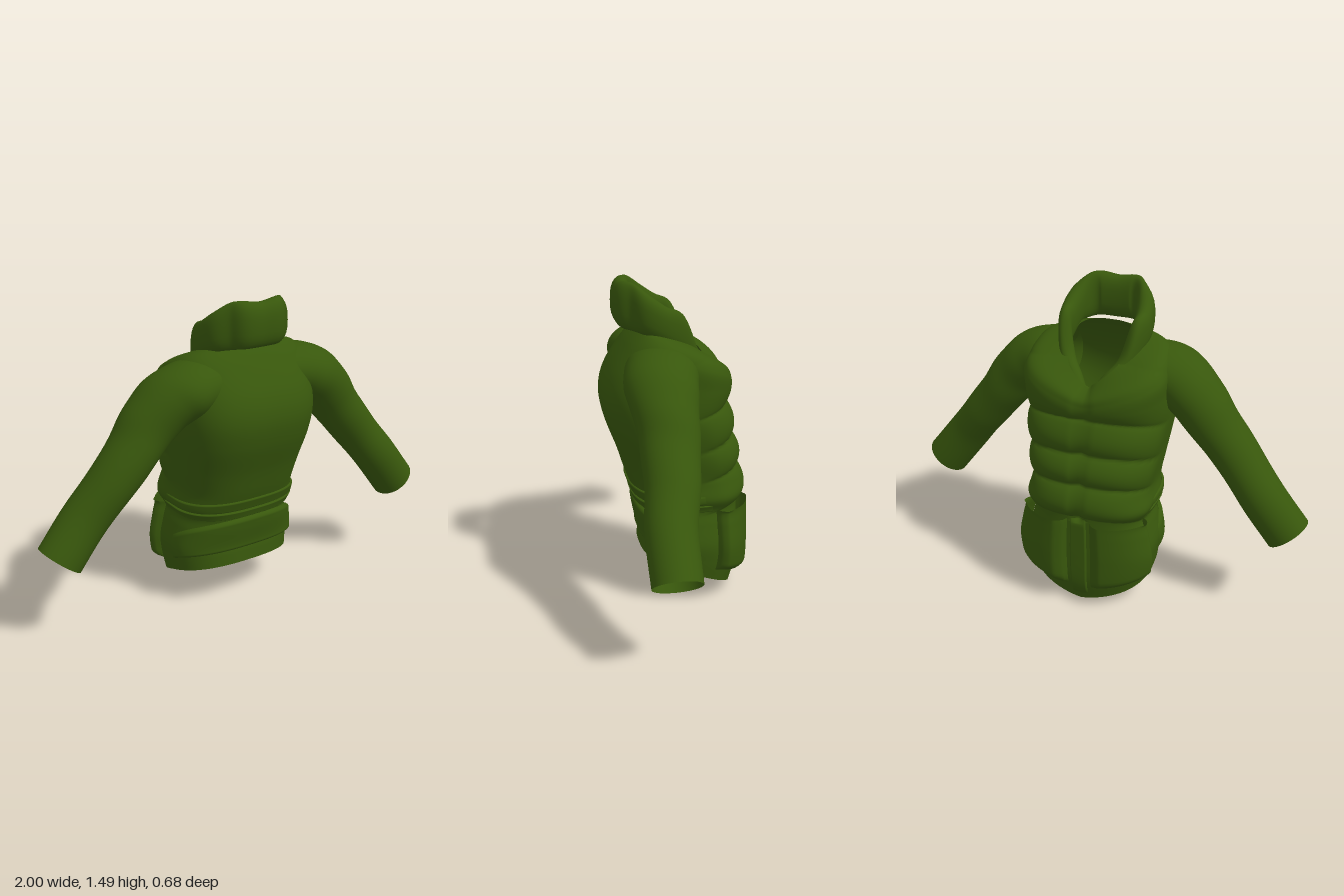
import * as THREE from 'three';

const material = new THREE.MeshStandardMaterial({ color: 0x38570c, side: THREE.DoubleSide });

// Skin a grid of points fn(i, j); wrap joins the last column to the first
function skin(name, rows, cols, wrap, fn) {
  const pos = [], idx = [];
  const n = wrap ? cols : cols + 1;
  for (let i = 0; i <= rows; i++)
    for (let j = 0; j < n; j++) pos.push(...fn(i / rows, j / cols));
  for (let i = 0; i < rows; i++)
    for (let j = 0; j < cols; j++) {
      const a = i * n + j, b = i * n + (j + 1) % n;
      idx.push(a, b, b + n, a, b + n, a + n);
    }
  const g = new THREE.BufferGeometry();
  g.setAttribute('position', new THREE.Float32BufferAttribute(pos, 3));
  g.setIndex(idx);
  g.computeVertexNormals();
  const mesh = new THREE.Mesh(g, material);
  mesh.name = name;
  return mesh;
}

// Smooth interpolation through rows of numbers, t from 0 to 1
function spline(keys) {
  const part = o => new THREE.CatmullRomCurve3(
    keys.map(k => new THREE.Vector3(k[o] ?? 0, k[o + 1] ?? 0, k[o + 2] ?? 0)), false, 'catmullrom', 0.5);
  const a = part(0), b = part(3);
  return t => [...a.getPoint(t).toArray(), ...b.getPoint(t).toArray()];
}

// Torso rings, hem to neck: y at +z, y at -z, half width, +z reach, -z reach
const rings = [
  [0.21, 0.0, 0.30, 0.17, -0.26],
  [0.26, 0.12, 0.31, 0.165, -0.285],
  [0.31, 0.26, 0.315, 0.16, -0.29],
  [0.39, 0.38, 0.295, 0.175, -0.29],
  [0.45, 0.45, 0.28, 0.185, -0.29],
  [0.51, 0.51, 0.30, 0.205, -0.29],
  [0.59, 0.58, 0.29, 0.235, -0.28],
  [0.70, 0.70, 0.305, 0.27, -0.26],
  [0.85, 0.82, 0.325, 0.325, -0.235],
  [0.97, 0.90, 0.335, 0.343, -0.22],
  [1.08, 0.96, 0.335, 0.315, -0.22],
  [1.20, 1.00, 0.335, 0.235, -0.21],
  [1.265, 1.035, 0.285, 0.175, -0.19],
  [1.29, 1.07, 0.145, 0.145, -0.12],
];
const LAST = rings.length - 1;
const torsoAt = spline(rings);
const seams = [0.475, 0.635, 0.78, 0.94, 1.19];
const spow = (v, p) => Math.sign(v) * Math.abs(v) ** p;

// Point on the torso: ring index v, angle a from +z, pushed outward by off
function torsoPoint(v, a, off = 0) {
  const [yp, ym, hw, zp, zm] = torsoAt(v / LAST);
  const round = v > 6 ? 0.72 : 0.78 - 0.01 * v;
  let x = hw * spow(Math.sin(a), round);
  let z = (zp + zm) / 2 + (zp - zm) / 2 * spow(Math.cos(a), round);
  const t = Math.max(0, (z - zm) / (zp - zm));
  const y = ym + (yp - ym) * t ** (v > 6 ? 0.35 : 0.5);
  // Padded quilting on the -z side, with a groove for the centre closure
  const s = y + 0.22 * (z - zm);
  const w = THREE.MathUtils.smoothstep(-Math.cos(a), 0, 0.45);
  let puff = 0;
  for (let i = 0; i < seams.length - 1; i++)
    if (s > seams[i] && s < seams[i + 1])
      puff = 0.042 * w * Math.sin(Math.PI * (s - seams[i]) / (seams[i + 1] - seams[i])) ** 0.55;
  if (v > 4) puff -= 0.016 * w * Math.exp(-((x / 0.02) ** 2));
  x += (off + 0.4 * puff) * Math.sin(a);
  z += (off + puff) * Math.cos(a);
  return [x, y, z];
}

// Padded panel lying on the torso; openTop leaves a raised pocket mouth,
// arch lowers the top edge towards both ends
function panel(name, a0, a1, v0, v1, bulge, openTop = false, arch = 0) {
  const edge = t => Math.min(1, Math.max(0, t) * 9) ** 0.5;
  return skin(name, 32, 48, false, (i, j) => {
    const top = openTop ? 1 : edge(1 - i);
    const off = 0.001 + bulge * edge(i) * top * edge(j) * edge(1 - j);
    const drop = arch * (2 * j - 1) ** 2;
    const start = v0 - 0.4 * drop, end = v1 - drop;
    return torsoPoint(start + (end - start) * i, a0 + (a1 - a0) * j, off);
  });
}

// Sleeve: keys of x, y, z, radius in the xy plane, radius along z
function sleeve(name, side, zs) {
  const at = spline([
    [0.19, 1.12, 0.10, 0.11, 0.15],
    [0.30, 1.10, 0.105, 0.125, 0.165],
    [0.385, 1.055, zs[0], 0.13, 0.158],
    [0.465, 0.975, zs[1], 0.126, 0.14],
    [0.55, 0.865, zs[1], 0.115, 0.128],
    [0.66, 0.73, zs[2], 0.107, 0.118],
    [0.78, 0.58, zs[3], 0.106, 0.11],
    [0.915, 0.41, zs[3], 0.108, 0.105],
  ]);
  return skin(name, 64, 40, true, (i, j) => {
    const [x, y, z, r, rz] = at(i);
    const p = at(Math.max(0, i - 0.03)), q = at(Math.min(1, i + 0.03));
    const len = Math.hypot(q[0] - p[0], q[1] - p[1]);
    const nx = -(q[1] - p[1]) / len, ny = (q[0] - p[0]) / len;
    const a = j * Math.PI * 2;
    const fold = 1 + 0.012 * Math.sin(i * 30 + 2 * Math.sin(a)) * Math.sin(Math.PI * i);
    const c = r * fold * Math.cos(a);
    return [side * (x + nx * c), y + ny * c, z + rz * fold * Math.sin(a)];
  });
}

// Stand-up collar running into lapels: x, z, bottom y, top y, half thickness
function collar() {
  const half = [
    [0.08, 0.228, 1.275, 1.485, 0.047],
    [0.125, 0.195, 1.27, 1.48, 0.028],
    [0.165, 0.14, 1.255, 1.44, 0.042],
    [0.178, 0.06, 1.215, 1.385, 0.04],
    [0.165, -0.015, 1.17, 1.345, 0.032],
    [0.125, -0.07, 1.09, 1.20, 0.035],
    [0.07, -0.12, 1.02, 1.13, 0.035],
    [0.015, -0.165, 0.98, 1.06, 0.025],
  ];
  const mirror = half.map(([x, ...r]) => [-x, ...r]).reverse();
  const at = spline([...mirror, [0, 0.232, 1.275, 1.475, 0.047], ...half]);
  return skin('collar', 120, 24, true, (i, j) => {
    const [x, z, y0, y1, th] = at(i);
    const p = at(Math.max(0, i - 0.01)), q = at(Math.min(1, i + 0.01));
    const len = Math.hypot(q[0] - p[0], q[1] - p[1]);
    const nx = (q[1] - p[1]) / len, nz = -(q[0] - p[0]) / len;
    const a = j * Math.PI * 2;
    const d = th * spow(Math.cos(a), 0.9);
    return [x + nx * d, (y0 + y1) / 2 + (y1 - y0) / 2 * spow(Math.sin(a), 0.8), z + nz * d];
  });
}

export function createModel() {
  const jacket = new THREE.Group();
  jacket.name = 'jacket';

  jacket.add(skin('torso', 180, 112, true, (i, j) => torsoPoint(i * LAST, j * Math.PI * 2)));
  jacket.add(collar());
  jacket.add(sleeve('leftSleeve', 1, [0.115, 0.11, 0.12, 0.145]));
  jacket.add(sleeve('rightSleeve', -1, [0.085, 0.065, 0.06, 0.03]));

  // Hip pockets, with the closure strip between them
  jacket.add(panel('leftPocket', 1.9, 3.03, 0.65, 4.1, 0.05, true));
  jacket.add(panel('rightPocket', -1.9, -3.03, 0.65, 4.1, 0.05, true));
  jacket.add(panel('closureStrip', Math.PI - 0.07, Math.PI + 0.07, 0.3, 4.2, 0.01));

  // Pouch and gathered folds on the +z side of the waist
  jacket.add(panel('waistPouch', -1.5, 1.5, 1.5, 4.0, 0.02, false, 1.5));
  jacket.add(panel('waistFold', -1.8, 1.8, 4.1, 4.8, 0.014, false, 0.2));
  jacket.add(panel('upperWaistFold', -1.7, 1.7, 4.85, 5.6, 0.01, false, 0.3));

  return jacket;
}
